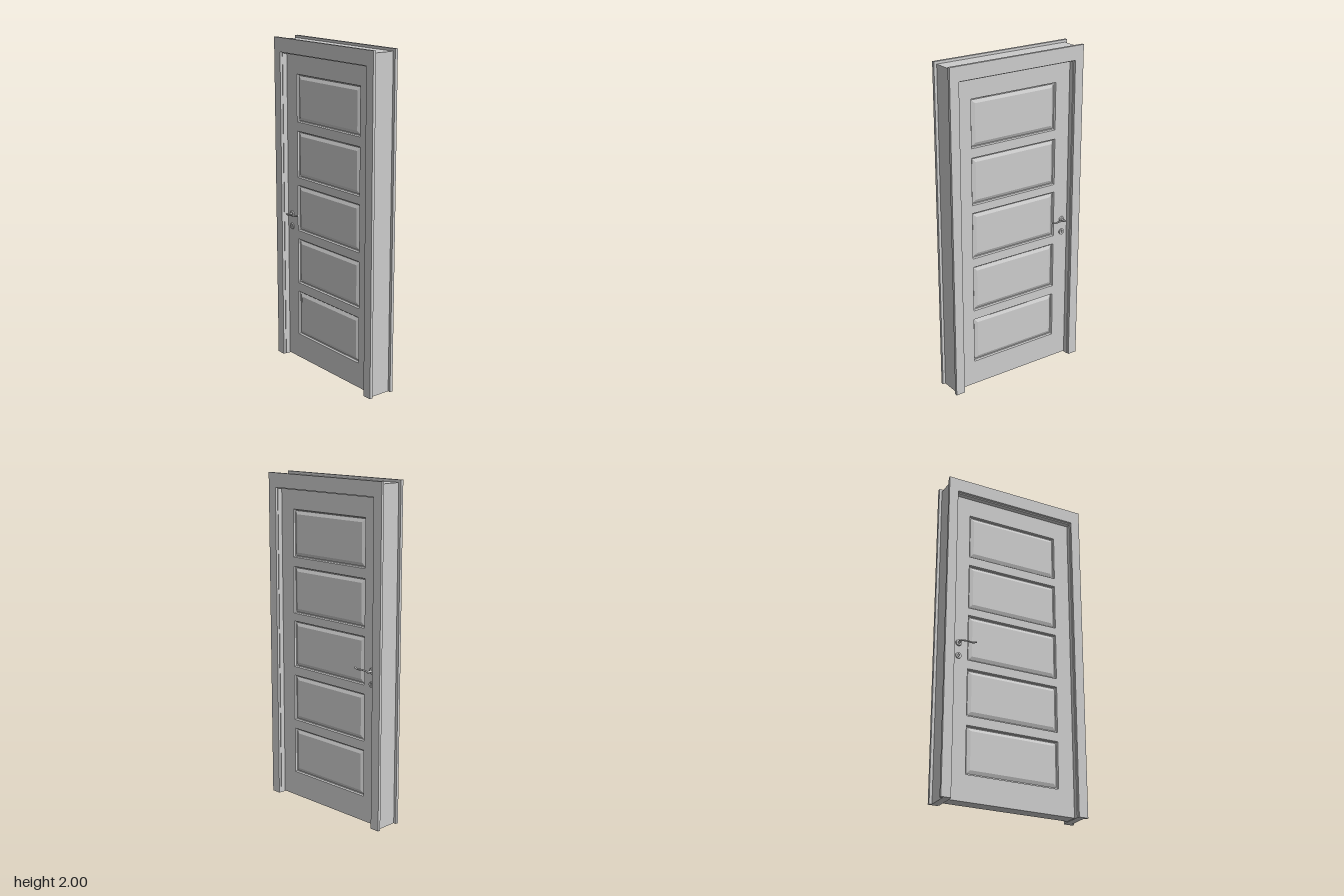
import * as THREE from 'three';

const mat = new THREE.MeshStandardMaterial({ color: 0xcccccc });

function add(parent, name, geo, x = 0, y = 0, z = 0) {
  const m = new THREE.Mesh(geo, mat);
  m.name = name;
  m.position.set(x, y, z);
  parent.add(m);
  return m;
}

// Upside-down U outline, open at the floor
function archGeometry(outerX, outerTop, innerX, innerTop, depth) {
  const s = new THREE.Shape();
  [[-outerX, 0], [-innerX, 0], [-innerX, innerTop], [innerX, innerTop],
    [innerX, 0], [outerX, 0], [outerX, outerTop], [-outerX, outerTop]]
    .forEach(([x, y], i) => (i ? s.lineTo(x, y) : s.moveTo(x, y)));
  s.closePath();
  return new THREE.ExtrudeGeometry(s, { depth, bevelEnabled: false });
}

// Nested rectangles [inset, z] joined into a moulded panel, closed by a flat field
function panelGeometry(w, h, steps) {
  const loops = steps.map(([inset, z]) => {
    const a = w / 2 - inset, b = h / 2 - inset;
    return [[-a, -b, z], [a, -b, z], [a, b, z], [-a, b, z]];
  });
  const pos = [];
  const quad = (a, b, c, d) => pos.push(...a, ...b, ...c, ...a, ...c, ...d);
  for (let i = 0; i < loops.length - 1; i++) {
    for (let k = 0; k < 4; k++) {
      const n = (k + 1) % 4;
      quad(loops[i][k], loops[i][n], loops[i + 1][n], loops[i + 1][k]);
    }
  }
  quad(...loops[loops.length - 1]);
  const g = new THREE.BufferGeometry();
  g.setAttribute('position', new THREE.Float32BufferAttribute(pos, 3));
  g.computeVertexNormals();
  return g;
}

export function createModel() {
  const door = new THREE.Group();
  door.name = 'door';
  const half = 0.04; // half thickness of the leaf
  const panelW = 0.588, panelH = 0.29;
  const panelYs = [0.3, 0.64, 0.978, 1.31, 1.65];

  // Lining inside the wall
  add(door, 'jamb', archGeometry(0.435, 1.985, 0.39, 1.908, 0.14), 0, 0, -0.07);

  // Leaf with five panel openings
  const outline = new THREE.Shape();
  outline.moveTo(-0.391, 0.004).lineTo(0.391, 0.004).lineTo(0.391, 1.91).lineTo(-0.391, 1.91).closePath();
  for (const y of panelYs) {
    const a = panelW / 2, b = panelH / 2;
    const hole = new THREE.Path();
    hole.moveTo(-a, y - b).lineTo(-a, y + b).lineTo(a, y + b).lineTo(a, y - b).closePath();
    outline.holes.push(hole);
  }
  add(door, 'leaf', new THREE.ExtrudeGeometry(outline, { depth: half * 2, bevelEnabled: false }), 0, 0, -half);

  const casing = archGeometry(0.452, 2, 0.394, 1.915, 0.018);
  const panel = panelGeometry(panelW, panelH,
    [[0, half], [0.003, half], [0.007, half - 0.011], [0.012, half - 0.013], [0.032, half - 0.004]]);

  // Shared handle parts
  const rose = new THREE.CylinderGeometry(0.017, 0.019, 0.008, 32).rotateX(Math.PI / 2);
  const neck = new THREE.CylinderGeometry(0.007, 0.007, 0.035, 20).rotateX(Math.PI / 2);
  const leverPath = new THREE.CatmullRomCurve3([[-0.008, 0, 0], [0.015, 0.003, 0.002],
    [0.045, 0.006, 0], [0.075, 0.004, -0.002], [0.096, 0.011, -0.003]]
    .map((p) => new THREE.Vector3(...p)));
  const lever = new THREE.TubeGeometry(leverPath, 32, 0.005, 12);
  const tip = new THREE.SphereGeometry(0.005, 12, 8);

  for (const dir of [1, -1]) {
    const side = new THREE.Group();
    side.name = dir > 0 ? 'frontSide' : 'backSide';
    door.add(side);
    if (dir < 0) side.rotation.y = Math.PI;
    add(side, 'casing', casing, 0, 0, 0.068);
    panelYs.forEach((y, i) => add(side, `panel${i + 1}`, panel, 0, y, 0));

    // Handle and keyhole plate sit on the same edge of the leaf on both sides
    const hx = -0.35 * dir;
    const handle = new THREE.Group();
    handle.name = 'handle';
    handle.position.set(hx, 0.93, half);
    side.add(handle);
    add(handle, 'rose', rose, 0, 0, 0.004);
    add(handle, 'neck', neck, 0, 0, 0.02);
    const grip = new THREE.Group();
    grip.name = 'lever';
    grip.position.z = 0.036;
    if (dir < 0) grip.rotation.y = Math.PI;
    handle.add(grip);
    add(grip, 'leverBar', lever);
    for (const t of [0, 1]) {
      const p = leverPath.getPoint(t);
      add(grip, 'leverTip', tip, p.x, p.y, p.z);
    }

    const slot = new THREE.Shape().absarc(0, 0, 0.018, 0, Math.PI * 2);
    const key = new THREE.Path();
    key.moveTo(-0.003, -0.009).lineTo(-0.003, 0.002).absarc(0, 0.005, 0.005, Math.PI * 1.2, -Math.PI * 0.2, true);
    key.lineTo(0.003, -0.009).closePath();
    slot.holes.push(key);
    add(side, 'keyholePlate',
      new THREE.ExtrudeGeometry(slot, { depth: 0.007, bevelEnabled: false, curveSegments: 24 }), hx, 0.85, half);
  }
  return door;
}
